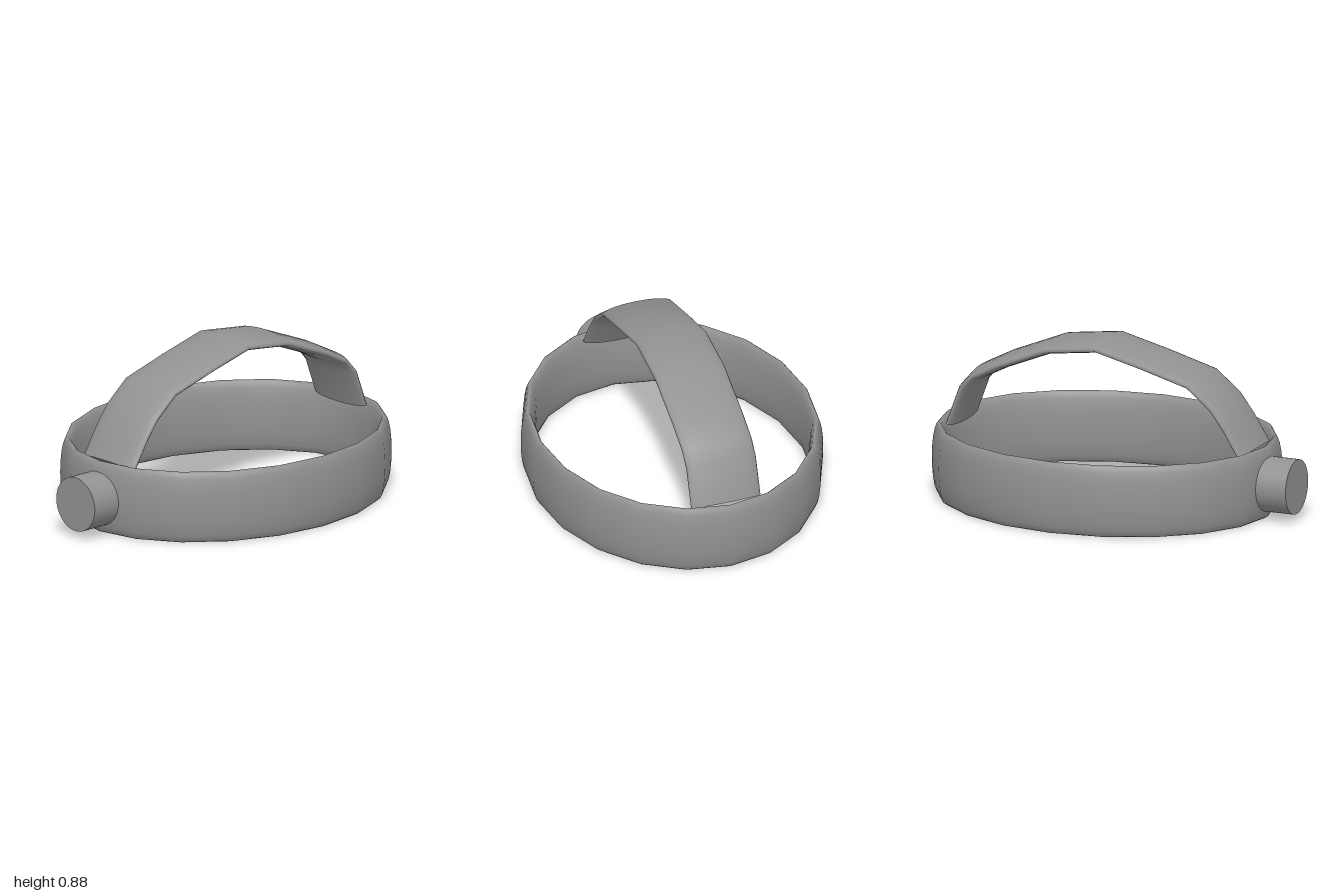
import * as THREE from 'three';

const material = new THREE.MeshStandardMaterial({ color: 0x929292 });

// Sweeps a flat oval section along a mitred path lying in the plane square to "axis".
function strap(name, points, axis, halfWidth, halfThick, closed) {
  const n = points.length, sides = 20;
  const pos = [], index = [];
  const dir = (a, b) => points[b].clone().sub(points[a]).normalize();
  points.forEach((p, i) => {
    const before = closed || i > 0 ? dir((i + n - 1) % n, i) : dir(0, 1);
    const after = closed || i < n - 1 ? dir(i, (i + 1) % n) : before;
    const tangent = before.clone().add(after).normalize();
    const normal = tangent.clone().cross(axis);
    const mitre = 1 / tangent.dot(after);
    for (let j = 0; j < sides; j++) {
      const a = (j / sides) * Math.PI * 2;
      const v = p.clone()
        .addScaledVector(axis, halfWidth * Math.sin(a))
        .addScaledVector(normal, halfThick * mitre * Math.cos(a));
      pos.push(v.x, v.y, v.z);
    }
  });
  for (let i = 0; i < (closed ? n : n - 1); i++) {
    for (let j = 0; j < sides; j++) {
      const k = (j + 1) % sides, i2 = (i + 1) % n;
      const a = i * sides + j, b = i * sides + k;
      const c = i2 * sides + j, d = i2 * sides + k;
      index.push(a, c, b, b, c, d);
    }
  }
  // Flat caps on the two ends of an open strap, with their own corners to stay sharp
  if (!closed) {
    const addCap = (ring, centre, flip) => {
      const first = pos.length / 3;
      pos.push(...pos.slice(ring * 3, (ring + sides) * 3), ...centre.toArray());
      for (let j = 0; j < sides; j++) {
        const a = first + j, b = first + (j + 1) % sides;
        index.push(first + sides, flip ? b : a, flip ? a : b);
      }
    };
    addCap(0, points[0], false);
    addCap((n - 1) * sides, points[n - 1], true);
  }
  const geo = new THREE.BufferGeometry();
  geo.setAttribute('position', new THREE.Float32BufferAttribute(pos, 3));
  geo.setIndex(index);
  geo.computeVertexNormals();
  const mesh = new THREE.Mesh(geo, material);
  mesh.name = name;
  return mesh;
}

export function createModel() {
  const group = new THREE.Group();
  group.name = 'headlamp';

  // Oval head band of twenty straight runs
  const band = [];
  for (let i = 0; i < 20; i++) {
    const a = (i / 20) * Math.PI * 2;
    band.push(new THREE.Vector3(0.727 * Math.sin(a), 0.19, -0.07 + 0.894 * Math.cos(a)));
  }
  group.add(strap('headBand', band, new THREE.Vector3(0, 1, 0), 0.19, 0.0355, true));

  // Strap over the top of the head, from front to back (z, y), ending just inside the band
  const arch = [
    [0.757, 0.355], [0.67, 0.495], [0.594, 0.596], [0.463, 0.703], [0.2, 0.777], [-0.06, 0.842],
    [-0.342, 0.805], [-0.61, 0.695], [-0.755, 0.62], [-0.818, 0.548], [-0.889, 0.355],
  ].map(([z, y]) => new THREE.Vector3(0, y, z));
  group.add(strap('topStrap', arch, new THREE.Vector3(1, 0, 0), 0.19, 0.034, false));

  // Round lamp on the front of the band
  const lamp = new THREE.Mesh(new THREE.CylinderGeometry(0.144, 0.144, 0.18, 48), material);
  lamp.name = 'lamp';
  lamp.rotation.x = Math.PI / 2;
  lamp.position.set(0, 0.183, 0.91);
  group.add(lamp);

  return group;
}
